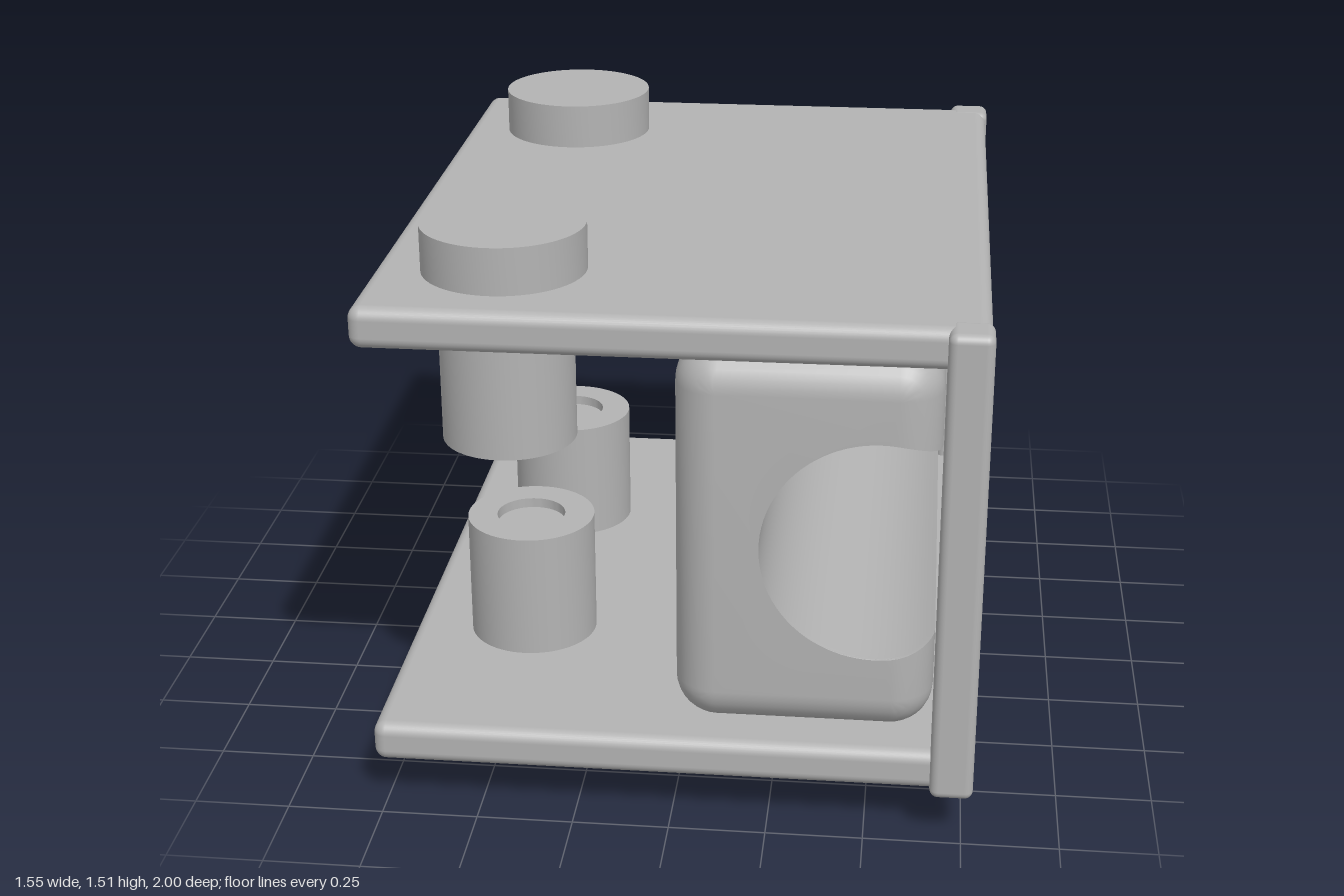
import * as THREE from 'three';
import { toCreasedNormals } from 'three/addons/utils/BufferGeometryUtils.js';
import { RoundedBoxGeometry } from 'three/addons/geometries/RoundedBoxGeometry.js';

const MID_Y = 0.755; // height of the horizontal symmetry plane

// Outline of the cradle block, shrunk by `inset`, with corner radius `rad`
// and a round channel breaking through its right side.
function cradleOutline(inset, rad) {
  const x0 = inset, x1 = 0.665 - inset, half = 0.52 - inset;
  const cx = 0.515, R = 0.297, pts = [];
  const arc = (ax, ay, r, from, to, n) => {
    for (let i = 0; i <= n; i++) {
      const a = from + (to - from) * i / n;
      pts.push(new THREE.Vector2(ax + r * Math.cos(a), ay + r * Math.sin(a)));
    }
  };
  const q = Math.PI / 2, open = Math.acos((x1 - cx) / R);
  arc(x1 - rad, MID_Y + half - rad, rad, 0, q, 8);
  arc(x0 + rad, MID_Y + half - rad, rad, q, 2 * q, 8);
  arc(x0 + rad, MID_Y - half + rad, rad, 2 * q, 3 * q, 8);
  arc(x1 - rad, MID_Y - half + rad, rad, 3 * q, 4 * q, 8);
  arc(cx, MID_Y, R, 4 * q - open, open, 48); // channel wall
  return pts;
}

// Loft the outlines along z; the inset follows a quarter circle at both ends.
function cradleGeometry() {
  const r = 0.11, halfZ = 0.89, steps = 8, slices = [];
  for (const side of [-1, 1]) {
    for (let i = 0; i <= steps; i++) {
      const a = (side < 0 ? steps - i : i) / steps * Math.PI / 2;
      const rad = Math.max(r * Math.cos(a), 0.002);
      slices.push({ z: side * (halfZ - r + r * Math.sin(a)), pts: cradleOutline(r - rad, rad) });
    }
  }
  const pos = [], idx = [], n = slices[0].pts.length;
  for (const s of slices) for (const p of s.pts) pos.push(p.x, p.y, s.z);
  for (let k = 0; k < slices.length - 1; k++) {
    for (let i = 0; i < n; i++) {
      const a = k * n + i, b = k * n + (i + 1) % n;
      idx.push(a, b, b + n, a, b + n, a + n);
    }
  }
  // flat ends
  const last = (slices.length - 1) * n;
  for (const [a, b, c] of THREE.ShapeUtils.triangulateShape(slices[0].pts, [])) {
    idx.push(a, c, b, last + a, last + b, last + c);
  }
  const geo = new THREE.BufferGeometry();
  geo.setAttribute('position', new THREE.Float32BufferAttribute(pos, 3));
  geo.setIndex(idx);
  return toCreasedNormals(geo, 0.5);
}

// Headed pin with a shallow recess in the tip of its stem.
function pinGeometry() {
  const profile = [
    [0, 0], [0.21, 0], [0.21, 0.13], [0.173, 0.13],
    [0.173, 0.577], [0.093, 0.577], [0.093, 0.55], [0, 0.55],
  ].map(([x, y]) => new THREE.Vector2(x, y));
  return toCreasedNormals(new THREE.LatheGeometry(profile, 64), 0.6);
}

export function createModel() {
  const model = new THREE.Group();
  model.name = 'pinnedCradle';
  const grey = new THREE.MeshStandardMaterial({ color: 0xb3b3b3 });
  grey.name = 'plain grey';

  const add = (name, geo, x, y, z) => {
    const mesh = new THREE.Mesh(geo, grey);
    mesh.name = name;
    mesh.position.set(x, y, z);
    model.add(mesh);
    return mesh;
  };

  // two flat plates
  const plate = new RoundedBoxGeometry(1.546, 0.108, 1.92, 4, 0.032);
  add('bottomPlate', plate, -0.003, 0.18, 0);
  add('topPlate', plate, -0.003, 1.33, 0);

  // corner posts on the left edge
  const post = new RoundedBoxGeometry(0.11, 1.26, 0.11, 4, 0.022);
  add('frontPost', post, 0.72, MID_Y, 0.945);
  add('backPost', post, 0.72, MID_Y, -0.945);

  // channelled block between the plates
  add('cradleBlock', cradleGeometry(), 0, 0, 0);

  // pins: the upper pair hangs down and stands wider apart
  const pin = pinGeometry();
  for (const side of [-1, 1]) {
    const end = side > 0 ? 'Front' : 'Back';
    add('lowerPin' + end, pin, -0.447, 0, side * 0.37);
    add('upperPin' + end, pin, -0.447, 1.507, side * 0.63).rotation.x = Math.PI;
  }
  return model;
}
